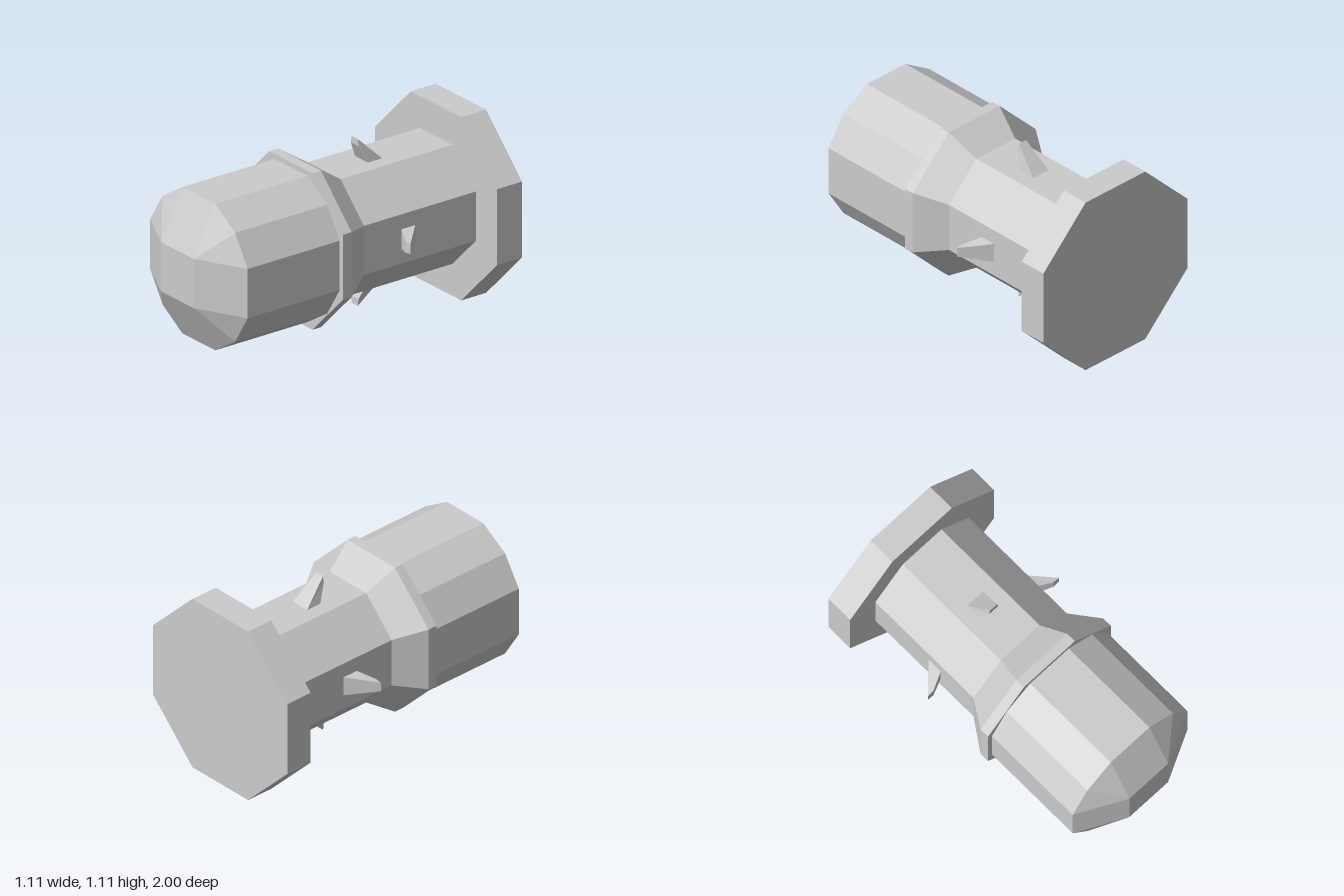
import * as THREE from 'three';

const CENTRE_Y = 0.557;
const material = new THREE.MeshStandardMaterial({ color: 0xcccccc, flatShading: true });

// Skin a list of equal-length rings (counter-clockwise about the loft direction), closed at both ends
function loft(name, rings) {
  const positions = [];
  const tri = (a, b, c) => {
    const area = new THREE.Triangle(a, b, c).getArea();
    if (area > 1e-7) for (const p of [a, b, c]) positions.push(p.x, p.y, p.z);
  };
  const n = rings[0].length;
  for (let r = 0; r < rings.length - 1; r++) {
    const a = rings[r], b = rings[r + 1];
    for (let i = 0; i < n; i++) {
      const j = (i + 1) % n;
      tri(a[i], a[j], b[j]);
      tri(a[i], b[j], b[i]);
    }
  }
  const first = rings[0], last = rings[rings.length - 1];
  for (let i = 1; i < n - 1; i++) {
    tri(first[0], first[i + 1], first[i]);
    tri(last[0], last[i], last[i + 1]);
  }
  const geometry = new THREE.BufferGeometry();
  geometry.setAttribute('position', new THREE.Float32BufferAttribute(positions, 3));
  geometry.computeVertexNormals();
  const mesh = new THREE.Mesh(geometry, material);
  mesh.name = name;
  return mesh;
}

// Regular octagon with flats facing up and sideways
function octagon(apothem, z) {
  const radius = apothem / Math.cos(Math.PI / 8);
  return Array.from({ length: 8 }, (_, i) => {
    const a = (i + 0.5) * Math.PI / 4;
    return new THREE.Vector3(radius * Math.cos(a), radius * Math.sin(a), z);
  });
}

// Repeat one corner's points four times around z
function fourCorners(points, z) {
  const ring = [];
  for (let q = 0; q < 4; q++) {
    for (const [x, y] of points) {
      ring.push(new THREE.Vector3(x, y, z).applyAxisAngle(new THREE.Vector3(0, 0, 1), q * Math.PI / 2));
    }
  }
  return ring;
}

export function createModel() {
  const model = new THREE.Group();
  model.name = 'bolt';
  const body = new THREE.Group();
  body.name = 'body';
  body.position.y = CENTRE_Y;
  model.add(body);

  // Wide plate at the back, shaft and flared collar
  body.add(loft('basePlate', [octagon(0.557, -1), octagon(0.557, -0.825)]));
  body.add(loft('shaft', [octagon(0.362, -0.825), octagon(0.362, -0.035)]));
  body.add(loft('collar', [octagon(0.362, -0.035), octagon(0.476, 0.14), octagon(0.476, 0.2)]));

  // Twelve-sided head whose bevel closes onto a square front
  const side = [[0.445, 0.15], [0.331, 0.331], [0.15, 0.445]];
  const front = [[0.15, 0.15], [0.15, 0.15], [0.15, 0.15]];
  body.add(loft('head', [fourCorners(side, 0.2), fourCorners(side, 0.85), fourCorners(front, 1)]));

  // Four forward-leaning barbs around the shaft
  const rect = (y0, z0, w0, y1, z1, w1) => [
    new THREE.Vector3(-w0, y0, z0), new THREE.Vector3(w0, y0, z0),
    new THREE.Vector3(w1, y1, z1), new THREE.Vector3(-w1, y1, z1),
  ];
  for (let i = 0; i < 4; i++) {
    const barb = loft('barb', [
      rect(0.36, -0.3, 0.06, 0.36, -0.4, 0.06),
      rect(0.465, -0.25, 0.035, 0.508, -0.25, 0.028),
    ]);
    barb.rotation.z = i * Math.PI / 2;
    body.add(barb);
  }
  return model;
}
